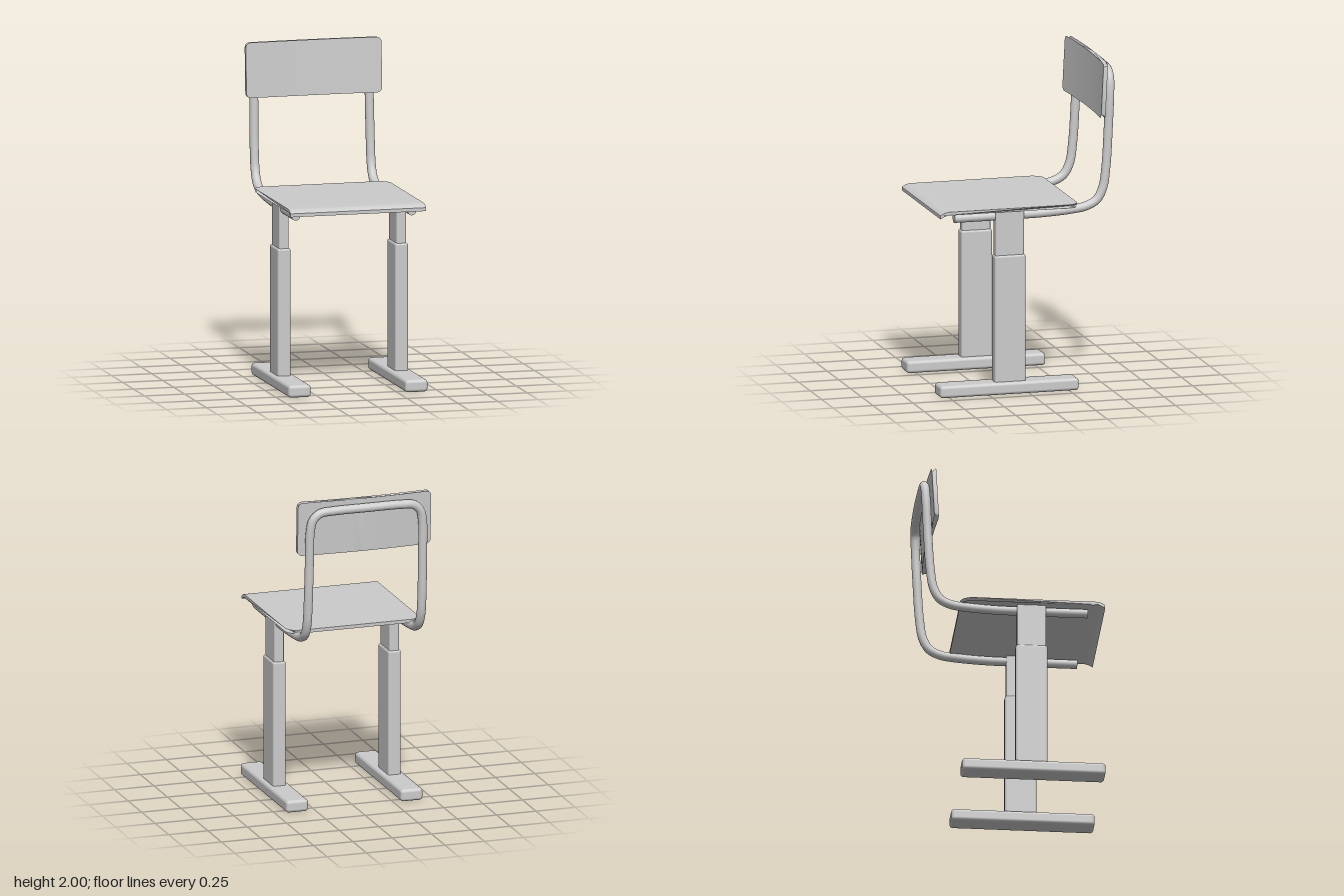
import * as THREE from 'three';
import { toCreasedNormals } from 'three/addons/utils/BufferGeometryUtils.js';
import { RoundedBoxGeometry } from 'three/addons/geometries/RoundedBoxGeometry.js';

const material = new THREE.MeshStandardMaterial({ color: 0xcccccc });

function add(parent, name, geometry) {
  const mesh = new THREE.Mesh(geometry, material);
  mesh.name = name;
  parent.add(mesh);
  return mesh;
}

// Bent sheet: runs along z, top surface at height(z), half width in x from halfWidth(z)
function sheet(stations, height, thickness, halfWidth) {
  const top = stations.map(s => new THREE.Vector2(s, height(s)));
  const bottom = stations.map(s => new THREE.Vector2(s, height(s) - thickness)).reverse();
  const geo = new THREE.ExtrudeGeometry(new THREE.Shape([...bottom, ...top]),
    { depth: 1, bevelEnabled: false });
  geo.translate(0, 0, -0.5).rotateY(-Math.PI / 2);
  const p = geo.attributes.position;
  for (let i = 0; i < p.count; i++) p.setX(i, p.getX(i) * 2 * halfWidth(p.getZ(i)));
  return toCreasedNormals(geo, 0.6);
}

// Half width with elliptical corners of length a and depth b; d is the distance from the end
function rounded(d, half, a, b) {
  if (d >= a) return half;
  const t = 1 - Math.max(d, 0) / a;
  return half - b * (1 - Math.sqrt(Math.max(0, 1 - t * t)));
}

function makeSeat() {
  const stations = [];
  for (let i = 0; i <= 8; i++) stations.push(-0.315 + 0.08 * (1 - Math.cos(i / 8 * Math.PI / 2)));
  stations.push(0.1, 0.4);
  for (let i = 0; i <= 8; i++) stations.push(0.5 + 0.055 * i / 8);
  // front edge rolls downwards
  const height = z => 1.147 - (z > 0.5 ? 0.02 * ((z - 0.5) / 0.055) ** 2 : 0);
  return sheet(stations, height, 0.027 - 0.006, z => rounded(z + 0.315, 0.423, 0.08, 0.065))
    .translate(0, 0, 0);
}

function makeBackrest() {
  const stations = [];
  for (let i = 0; i <= 5; i++) stations.push(-0.423 + 0.03 * (1 - Math.cos(i / 5 * Math.PI / 2)));
  for (let i = 1; i < 20; i++) stations.push(-0.393 + 0.786 * i / 20);
  for (let i = 5; i >= 0; i--) stations.push(0.423 - 0.03 * (1 - Math.cos(i / 5 * Math.PI / 2)));
  const geo = sheet(stations, x => 0.018 * (x / 0.423) ** 2, 0.027,
    x => rounded(0.423 - Math.abs(x), 0.168, 0.03, 0.03));
  // stand the sheet up: length along x, width along y
  geo.applyMatrix4(new THREE.Matrix4().makeBasis(
    new THREE.Vector3(0, 1, 0), new THREE.Vector3(0, 0, 1), new THREE.Vector3(1, 0, 0)));
  return geo.rotateX(-0.05).translate(0, 1.832, -0.475);
}

function makeFrame(group) {
  const r = 0.027;
  const half = [
    [0.362, 1.093, 0.455], [0.362, 1.093, 0.1], [0.362, 1.095, -0.1], [0.362, 1.106, -0.28],
    [0.362, 1.12, -0.37], [0.362, 1.155, -0.437], [0.362, 1.225, -0.476], [0.362, 1.35, -0.496],
    [0.36, 1.6, -0.512], [0.357, 1.82, -0.522], [0.34, 1.895, -0.526], [0.295, 1.934, -0.528],
    [0.22, 1.942, -0.53],
  ];
  const points = [
    ...half.map(p => new THREE.Vector3(...p)),
    new THREE.Vector3(0, 1.944, -0.533),
    ...half.map(([x, y, z]) => new THREE.Vector3(-x, y, z)).reverse(),
  ];
  const path = new THREE.CatmullRomCurve3(points, false, 'centripetal');
  add(group, 'tubeFrame', new THREE.TubeGeometry(path, 220, r, 20));
  // flat ends of the tube under the seat front
  for (const s of [-1, 1]) {
    add(group, 'tubeEnd', new THREE.CircleGeometry(r, 20)).position.set(s * 0.362, 1.093, 0.455);
  }
}

function makeLeg(side) {
  const leg = new THREE.Group();
  leg.name = side > 0 ? 'leftLeg' : 'rightLeg';
  const box = (name, w, h, d, radius, y, z) =>
    add(leg, name, new RoundedBoxGeometry(w, h, d, 4, radius)).position.set(0, y + h / 2, z);
  box('foot', 0.14, 0.075, 0.868, 0.02, 0.003, 0.124);
  box('lowerColumn', 0.082, 0.795, 0.193, 0.014, 0.06, 0.113);
  box('upperColumn', 0.062, 0.325, 0.177, 0.01, 0.8, 0.113);
  leg.position.x = side * 0.366;
  return leg;
}

export function createModel() {
  const model = new THREE.Group();
  model.name = 'chair';
  add(model, 'seat', makeSeat());
  add(model, 'backrest', makeBackrest());
  makeFrame(model);
  for (const side of [-1, 1]) {
    const leg = makeLeg(side);
    leg.children[0].position.x = -side * 0.002;
    model.add(leg);
  }
  return model;
}
